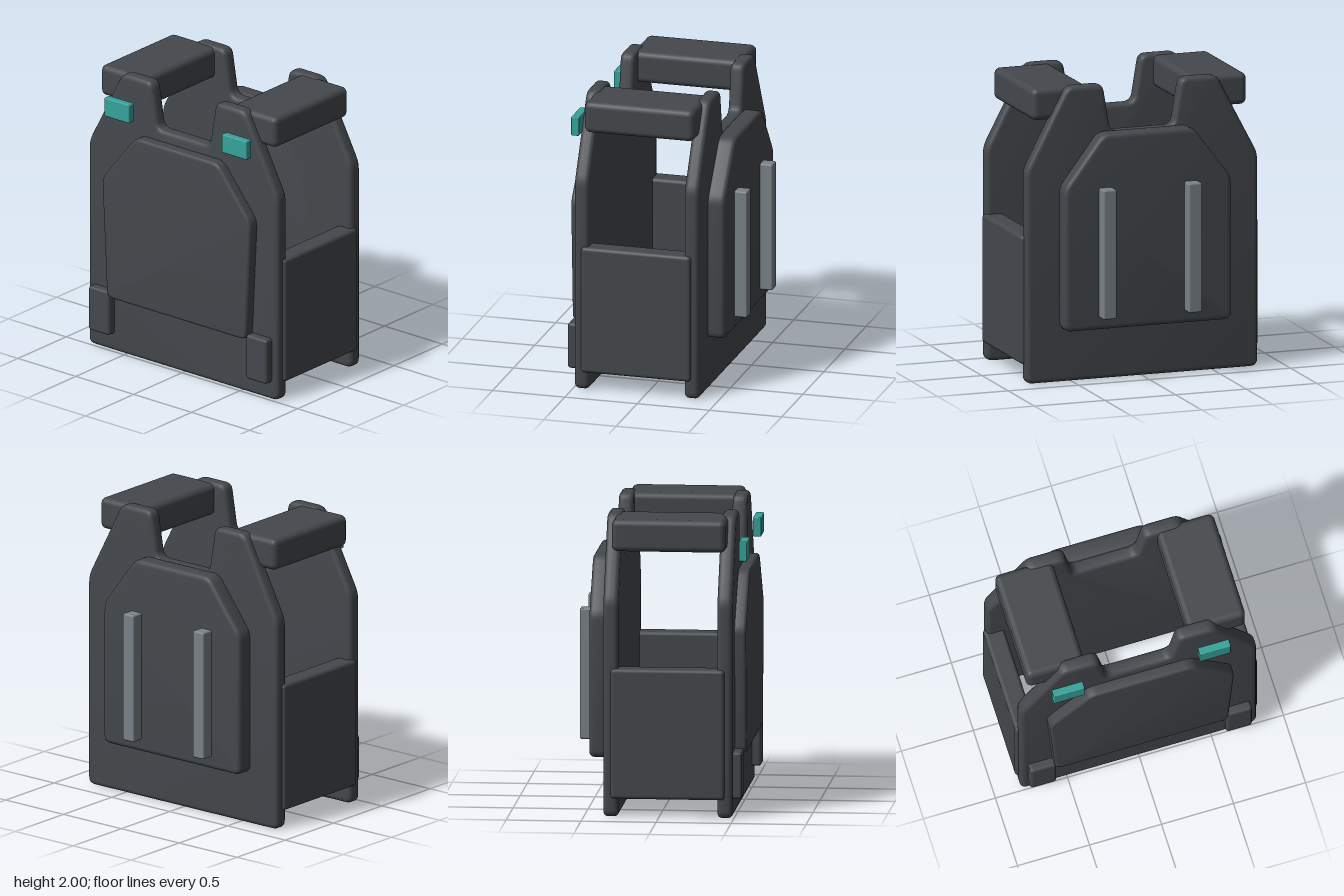
import * as THREE from 'three';
import { toCreasedNormals } from 'three/addons/utils/BufferGeometryUtils.js';
import { RoundedBoxGeometry } from 'three/addons/geometries/RoundedBoxGeometry.js';

// Mirrored outline with rounded corners; half lists the +x corners from bottom to top
function roundedOutline(half, radius) {
  const corners = [...half, ...half.map(([x, y]) => [-x, y]).reverse()]
    .map(([x, y]) => new THREE.Vector2(x, y));
  const shape = new THREE.Shape();
  const n = corners.length;
  corners.forEach((c, i) => {
    const toward = (p) => c.clone().add(p.clone().sub(c).setLength(radius));
    const a = toward(corners[(i + n - 1) % n]);
    const b = toward(corners[(i + 1) % n]);
    if (i === 0) shape.moveTo(a.x, a.y);
    else shape.lineTo(a.x, a.y);
    shape.quadraticCurveTo(c.x, c.y, b.x, b.y);
  });
  return shape;
}

// Soft-edged slab between two z positions
function slabGeometry(half, z0, z1, bevel) {
  const geometry = new THREE.ExtrudeGeometry(roundedOutline(half, 0.05), {
    depth: z1 - z0 - 2 * bevel,
    bevelThickness: bevel,
    bevelSize: bevel,
    bevelOffset: -bevel,
    bevelSegments: 4,
    curveSegments: 5,
  });
  geometry.translate(0, 0, z0 + bevel);
  return toCreasedNormals(geometry, 0.6);
}

export function createModel() {
  const model = new THREE.Group();
  model.name = 'plateVest';

  const material = (name, color) => {
    const m = new THREE.MeshStandardMaterial({ color });
    m.name = name;
    return m;
  };
  const fabric = material('charcoalFabric', 0x44484c);
  const webbing = material('greyWebbing', 0x7a8288);
  const teal = material('tealPatch', 0x36a39b);

  const add = (name, geometry, mat) => {
    const mesh = new THREE.Mesh(geometry, mat);
    mesh.name = name;
    model.add(mesh);
  };

  // Rounded box by its limits, mirrored to both sides
  const addPair = (name, [x0, x1], [y0, y1], [z0, z1], radius, mat) => {
    for (const [side, s] of [['left', 1], ['right', -1]]) {
      const g = new RoundedBoxGeometry(x1 - x0, y1 - y0, z1 - z0, 3, radius);
      g.translate((s * (x0 + x1)) / 2, (y0 + y1) / 2, (z0 + z1) / 2);
      add(side + name, g, mat);
    }
  };

  // Front and back carriers with a neck cut-out
  const carrier = [[0.82, 0], [0.82, 1.45], [0.53, 2], [0.275, 2], [0.222, 1.68]];
  add('frontPanel', slabGeometry(carrier, 0.39, 0.49, 0.03), fabric);
  add('backPanel', slabGeometry(carrier, -0.37, -0.27, 0.03), fabric);

  // Armour plates
  add('frontPlate', slabGeometry([[0.6, 0.405], [0.642, 1.25], [0.355, 1.605]], 0.47, 0.565, 0.02), fabric);
  add('backPlate', slabGeometry([[0.59, 0.36], [0.59, 1.33], [0.32, 1.685]], -0.485, -0.35, 0.03), fabric);

  // Shoulder pads and side panels
  addPair('ShoulderPad', [0.36, 0.76], [1.775, 1.99], [-0.32, 0.44], 0.04, fabric);
  addPair('SidePanel', [0.7, 0.84], [0.125, 1], [-0.32, 0.44], 0.025, fabric);

  // Front pouches, shoulder patches and back straps
  addPair('Pouch', [0.59, 0.77], [0.125, 0.44], [0.47, 0.55], 0.02, fabric);
  addPair('ShoulderPatch', [0.4, 0.615], [1.7, 1.832], [0.515, 0.57], 0.008, teal);
  addPair('BackStrap', [0.255, 0.35], [0.445, 1.325], [-0.57, -0.47], 0.012, webbing);

  return model;
}
